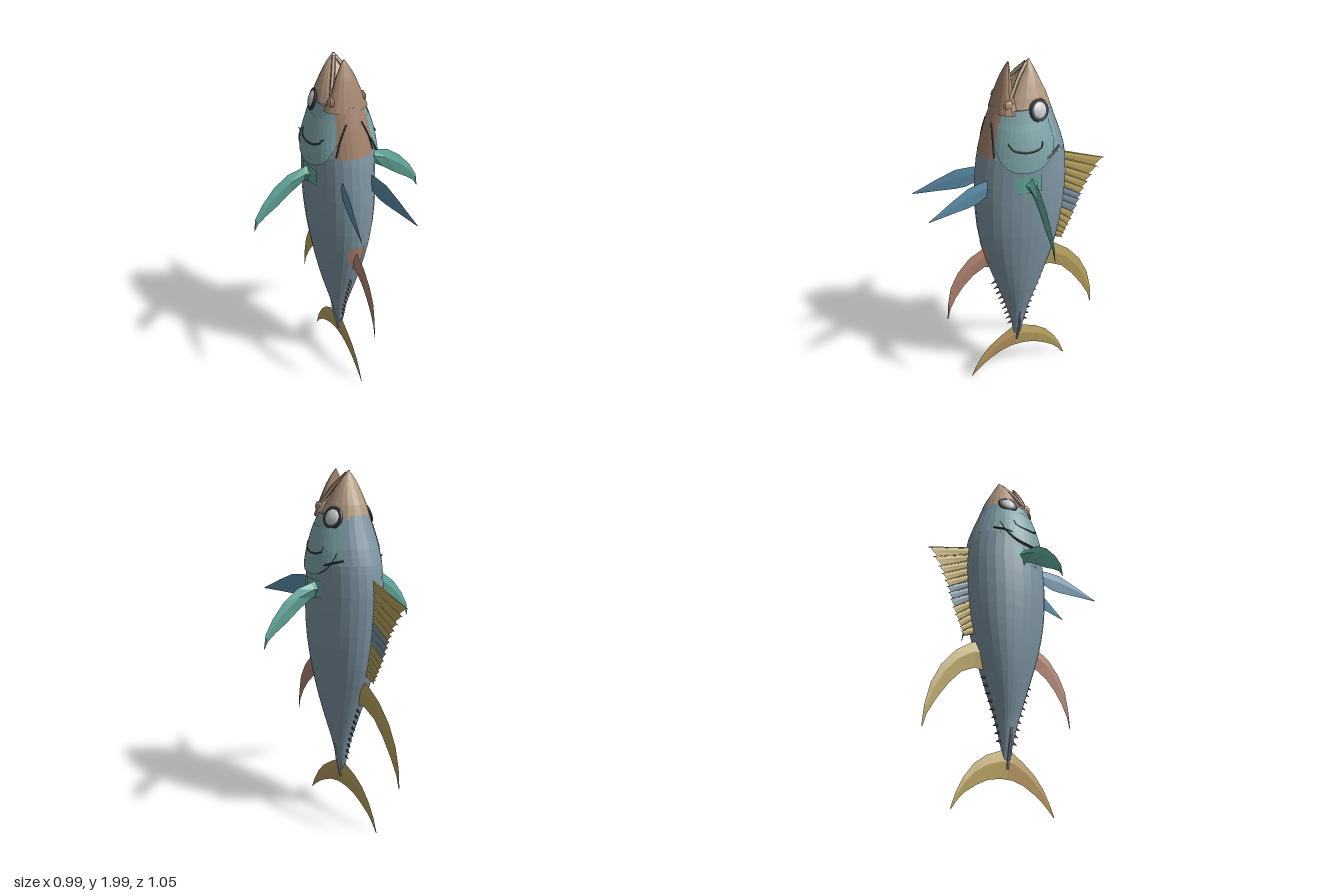
import * as THREE from 'three';

const C = { body: 0x7f96a4, teal: 0x7fa6aa, snout: 0xb39a80, throat: 0xa3826c, dark: 0x39424a, yellow: 0xbda762,
  pectoral: 0x63aa9f, blue: 0x5c8eaa, anal: 0xb58672, tail: 0xbc9a62, red: 0xa85c5c, eye: 0xcccccc };

// Cross-sections: [y, half width, front z, back z]
const BODY = [[.24, .004, .012, -.025], [.3, .012, .018, -.03], [.38, .032, .028, -.045], [.5, .058, .058, -.072],
  [.6, .085, .09, -.105], [.7, .11, .122, -.14], [.8, .13, .155, -.175], [.9, .146, .185, -.208], [1, .16, .207, -.235],
  [1.1, .171, .222, -.252], [1.2, .178, .229, -.265], [1.3, .18, .23, -.272], [1.4, .178, .225, -.275], [1.5, .175, .214, -.265],
  [1.55, .174, .204, -.255], [1.62, .167, .185, -.233], [1.7, .147, .162, -.202], [1.79, .118, .132, -.17]];
const UPPER = [[1.77, .122, .11, -.177], [1.84, .099, .062, -.151], [1.9, .072, .018, -.12], [1.95, .044, -.025, -.095], [2, .004, -.06, -.068]];
const LOWER = [[1.77, .116, .137, -.01], [1.85, .08, .11, .025], [1.92, .052, .085, .032], [1.97, .025, .062, .036], [2, .004, .046, .038]];

// Point on a lofted skin; th = 0 is the belly (+z), PI the back
function skin(sec, th, y, off = 0) {
  let i = 0;
  while (i < sec.length - 2 && y > sec[i + 1][0]) i++;
  const a = sec[i], b = sec[i + 1], t = (y - a[0]) / (b[0] - a[0]);
  const [w, f, k] = [1, 2, 3].map(n => a[n] + (b[n] - a[n]) * t);
  return [(w + off) * Math.sin(th), y, (f + k) / 2 + ((f - k) / 2 + off) * Math.cos(th)];
}

// Surface from fn(u, v) over a regular grid
function grid(fn, nu, nv) {
  const pos = [], idx = [];
  for (let j = 0; j <= nv; j++) for (let i = 0; i <= nu; i++) pos.push(...fn(i / nu, j / nv));
  for (let j = 0; j < nv; j++) for (let i = 0; i < nu; i++) {
    const a = j * (nu + 1) + i, b = a + 1, c = a + nu + 1;
    idx.push(a, b, c + 1, a, c + 1, c);
  }
  const g = new THREE.BufferGeometry();
  g.setAttribute('position', new THREE.Float32BufferAttribute(pos, 3));
  g.setIndex(idx);
  g.computeVertexNormals();
  return g;
}

// Thin lens-section fin; stations are [leading edge, trailing edge, thickness] in the plane given by map
function finGeometry(stations, map) {
  return grid((u, v) => {
    const [l, t, w] = stations[Math.round(v * (stations.length - 1))];
    const k = Math.round(u * 4) % 4, f = [0, .4, 1, .4][k], o = [0, .5, 0, -.5][k] * w;
    return map(l[0] + (t[0] - l[0]) * f, l[1] + (t[1] - l[1]) * f, o);
  }, 4, stations.length - 1);
}
const median = (z, y, o) => [o, y, z];

export function createModel() {
  const root = new THREE.Group();
  root.name = 'fish';
  const add = (name, geo, color, parent = root) => {
    const m = new THREE.Mesh(geo, new THREE.MeshStandardMaterial({ color, flatShading: true, side: THREE.DoubleSide }));
    m.name = name;
    parent.add(m);
    return m;
  };
  const patch = (name, color, sec, t0, t1, y0, y1, nu, nv, off = 0) =>
    add(name, grid((u, v) => skin(sec, t0 + (t1 - t0) * u, y0 + (y1 - y0) * v, off), nu, nv), color);
  const fin = (name, color, stations, map = median) => add(name, finGeometry(stations, map), color);
  const line = (name, color, pts, r) =>
    add(name, new THREE.TubeGeometry(new THREE.CatmullRomCurve3(pts.map(p => new THREE.Vector3(...p))), 14, r, 5), color);

  // Trunk and head
  const P = Math.PI;
  patch('trunk', C.body, BODY, -P, P, .24, 1.55, 28, 32);
  patch('throat', C.throat, BODY, -.65, .65, 1.55, 1.79, 8, 6);
  patch('nape', C.body, BODY, 2.37, 2 * P - 2.37, 1.55, 1.79, 8, 6);
  patch('upperJaw', C.snout, UPPER, -P, P, 1.77, 2, 20, 10);
  patch('lowerJaw', C.throat, LOWER, -P, P, 1.77, 2, 16, 10);
  add('mouthFloor', grid((u, v) => {
    const [x, y, z] = skin(BODY, u * 2 * P, 1.79);
    return [x * v, y, -.02 + (z + .02) * v];
  }, 20, 1), C.throat);
  patch('analFinBase', C.anal, BODY, -.3, .3, .88, 1.0, 4, 3, .002);

  for (const s of [1, -1]) {
    const side = s > 0 ? 'left' : 'right';
    const on = (th, y, off) => skin(BODY, s * th, y, off);
    patch(side + 'Cheek', C.teal, BODY, s > 0 ? .65 : -2.37, s > 0 ? 2.37 : -.65, 1.55, 1.79, 10, 6);

    // Gill cover flaring out over the body, with a rounded free edge
    const coverEdge = u => 1.49 + .13 * Math.pow(Math.abs(2 * u - 1), 2.5);
    add(side + 'GillCover', grid((u, v) => {
      const k = s > 0 ? u : 1 - u, low = coverEdge(k);
      return on(.6 + 1.6 * k, low + (1.73 - low) * v, .004 + .018 * (1 - v) * Math.sin(P * k));
    }, 12, 6), C.teal);
    add(side + 'GillCoverRim', grid((u, v) => {
      const k = s > 0 ? u : 1 - u;
      return on(.6 + 1.6 * k, coverEdge(k), v * (.004 + .018 * Math.sin(P * k)));
    }, 12, 1), C.dark);
    line(side + 'CheekGroove', C.dark, [on(.95, 1.64, .008), on(1.1, 1.61, .013), on(1.45, 1.595, .014), on(1.75, 1.61, .01), on(1.8, 1.64, .007)], .005);
    line(side + 'GillGroove', C.dark, [on(1.85, 1.545, .012), on(2.05, 1.56, .009), on(2.35, 1.575, .002)], .006);
    line(side + 'ThroatGroove', C.dark, [on(.3, 1.72, .001), on(.5, 1.64, .002), on(.62, 1.56, .002)], .004);

    // Eye with dark rim
    const eye = new THREE.Group();
    eye.name = side + 'Eye';
    eye.position.set(s * .109, 1.777, -.075);
    eye.rotation.set(0, s * .28, s * .32);
    root.add(eye);
    add('eyeball', new THREE.SphereGeometry(.045, 16, 12), C.eye, eye).scale.set(.5, 1, 1);
    const rim = add('eyeRim', new THREE.TorusGeometry(.048, .011, 6, 18), C.dark, eye);
    rim.rotation.y = P / 2;

    // Upper lip bone ending in a knob at the mouth corner
    line(side + 'Lip', C.snout, [[s * .004, 1.985, -.052], [s * .035, 1.93, .0], [s * .062, 1.87, .04], [s * .085, 1.82, .075]], .011);
    const knob = add(side + 'LipKnob', new THREE.SphereGeometry(.027, 8, 6), C.snout);
    knob.position.set(s * .085, 1.815, .075);
    knob.scale.x = .6;

    // Paired fins
    fin(side + 'PectoralFin', C.pectoral, [[[.165, 1.455], [.165, 1.355], .08], [[.2, 1.445], [.2, 1.365], .045],
      [[.29, 1.425], [.28, 1.315], .026], [[.37, 1.37], [.36, 1.255], .018], [[.44, 1.29], [.425, 1.215], .012],
      [[.485, 1.215], [.47, 1.18], .008], [[.495, 1.15], [.495, 1.14], .003]],
    (x, y, o) => [s * x, y, o - .012 + .03 * (x - .18)]);
    patch(side + 'PectoralBase', C.pectoral, BODY, s * 1.45 - .28, s * 1.45 + .28, 1.37, 1.46, 6, 3, .005);
    fin(side + 'PelvicFin', C.blue, [[[.17, 1.43], [.17, 1.35], .01], [[.22, 1.43], [.25, 1.315], .01],
      [[.3, 1.42], [.3, 1.308], .008], [[.4, 1.372], [.4, 1.305], .006], [[.48, 1.328], [.47, 1.302], .004], [[.525, 1.305], [.525, 1.3], .002]],
    (z, y, o) => [s * (.085 + .21 * (z - .2) + o), y, z]);

    // Keel on the tail stalk
    line(side + 'Keel', C.body, [[s * .004, .24, -.005], [s * .02, .31, -.006], [s * .036, .38, -.008], [s * .05, .5, -.007]], .008);
  }

  // Spiny first dorsal fin: membranes between tapering spines
  const tips = new THREE.CatmullRomCurve3([[-.52, 1.385], [-.45, 1.28], [-.405, 1.2], [-.38, 1.13], [-.345, 1.04], [-.31, .97], [-.285, .92]]
    .map(([z, y]) => new THREE.Vector3(0, y, z)));
  const N = 13, spine = k => {
    const t = k / N, p = tips.getPoint(t);
    return { r: [-.25 + .03 * t, 1.475 - .525 * t], t: [p.z, p.y] };
  };
  const dorsal = new THREE.Group();
  dorsal.name = 'firstDorsalFin';
  root.add(dorsal);
  for (let k = 0; k <= N; k++) {
    const a = spine(k), b = spine(k + 1);
    const from = new THREE.Vector3(0, a.r[1], a.r[0]), to = new THREE.Vector3(0, a.t[1], a.t[0]);
    const ray = add('spine', new THREE.CylinderGeometry(.002, .006, from.distanceTo(to), 5), k > 4 && k < 8 ? C.body : C.yellow, dorsal);
    ray.position.copy(from).add(to).multiplyScalar(.5);
    ray.quaternion.setFromUnitVectors(new THREE.Vector3(0, 1, 0), to.sub(from).normalize());
    if (k === N) break;
    const near = (p, f) => [p.r[0] + (p.t[0] - p.r[0]) * f, p.r[1] + (p.t[1] - p.r[1]) * f];
    add('membrane', finGeometry([[a.r, b.r, .006], [near(a, .97), near(b, .9), .003]], median),
      k > 4 && k < 8 ? C.body : C.yellow, dorsal);
  }

  // Sickle fins on the midline
  fin('secondDorsalFin', C.yellow, [[[-.17, .92], [-.15, .75], .03], [[-.24, .89], [-.21, .755], .02], [[-.33, .825], [-.29, .715], .014],
    [[-.41, .73], [-.36, .64], .011], [[-.465, .62], [-.43, .54], .008], [[-.495, .5], [-.48, .45], .005], [[-.505, .39], [-.5, .38], .002]]);
  fin('analFin', C.anal, [[[.15, .98], [.13, .82], .03], [[.2, .96], [.19, .835], .02], [[.28, .915], [.26, .795], .014],
    [[.35, .835], [.32, .735], .011], [[.395, .745], [.37, .665], .008], [[.415, .64], [.405, .595], .005], [[.425, .53], [.42, .53], .002]]);
  fin('upperTailLobe', C.yellow, [[[.0, .34], [.0, .19], .02], [[-.045, .335], [-.045, .19], .02], [[-.13, .3], [-.12, .175], .016],
    [[-.2, .25], [-.19, .14], .012], [[-.26, .175], [-.25, .1], .009], [[-.3, .1], [-.29, .06], .006], [[-.33, .015], [-.325, .01], .002]]);
  fin('lowerTailLobe', C.tail, [[[.0, .34], [.0, .19], .02], [[.03, .335], [.03, .19], .02], [[.1, .29], [.1, .17], .016],
    [[.17, .235], [.165, .135], .012], [[.225, .17], [.215, .1], .009], [[.265, .1], [.255, .065], .006], [[.295, .03], [.29, .03], .002]]);

  // Rows of finlets along belly and back of the tail stalk
  for (let i = 0; i < 9; i++) for (const s of [1, -1]) {
    const y = .72 - i * .041, z = skin(BODY, s > 0 ? 0 : P, y)[2];
    fin(s > 0 ? 'bellyFinlet' : 'backFinlet', s > 0 ? C.red : C.dark,
      [[[z - s * .012, y + .016], [z - s * .012, y - .014], .012], [[z + s * .026, y - .012], [z + s * .025, y - .016], .002]]);
  }
  return root;
}
